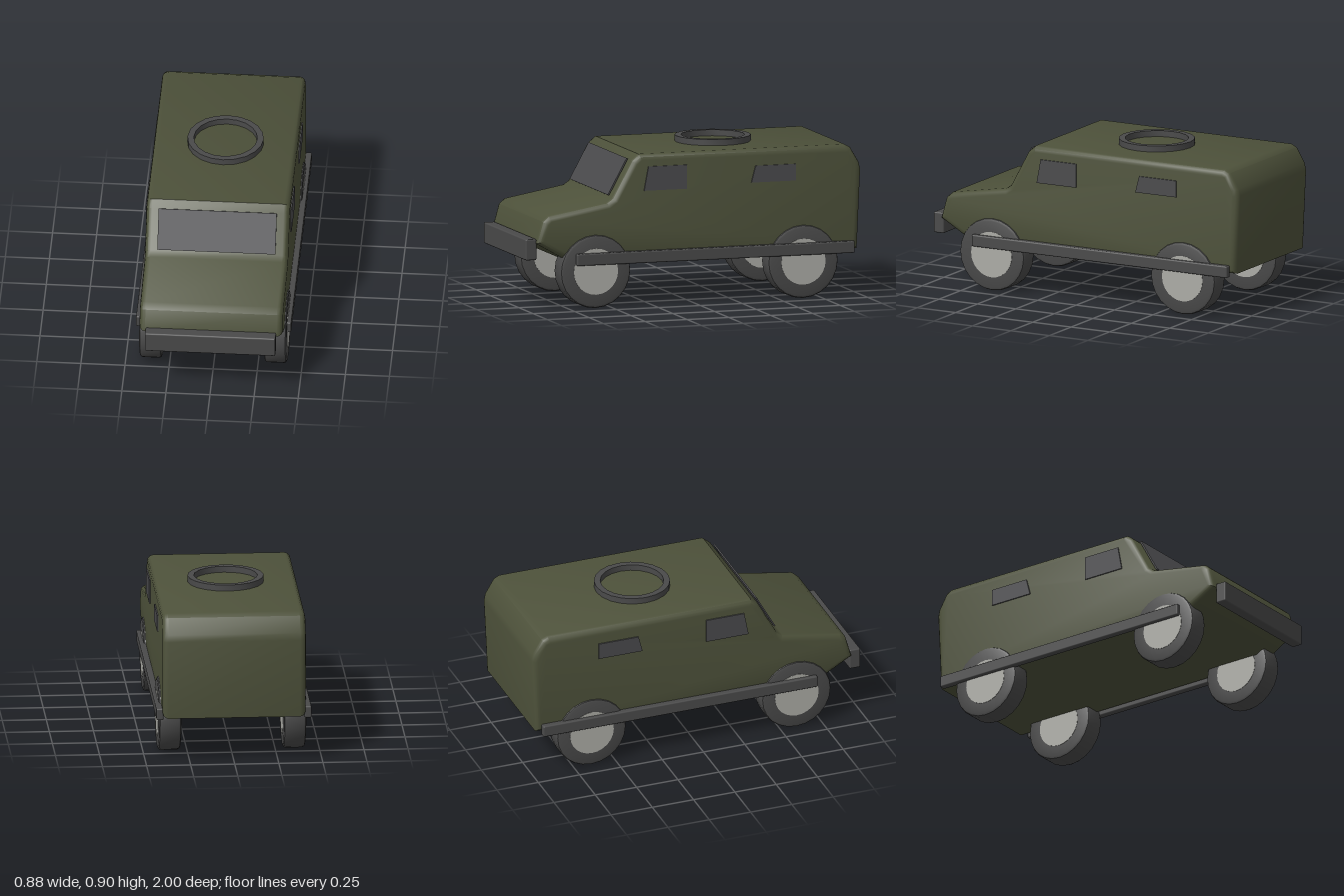
import * as THREE from 'three';
import { toCreasedNormals } from 'three/addons/utils/BufferGeometryUtils.js';
import { RoundedBoxGeometry } from 'three/addons/geometries/RoundedBoxGeometry.js';

function material(name, color) {
  const m = new THREE.MeshStandardMaterial({ color });
  m.name = name;
  return m;
}

const toShape = (points) => new THREE.Shape(points.map(([a, b]) => new THREE.Vector2(a, b)));

// Extrudes a (z, y) side outline across x, centred on x = 0
function extrudeAcross(points, width, bevel = 0) {
  const geometry = new THREE.ExtrudeGeometry(toShape(points), {
    depth: width - 2 * bevel,
    bevelEnabled: bevel > 0,
    bevelThickness: bevel,
    bevelSize: bevel,
    bevelOffset: -bevel,
    bevelSegments: 3,
  });
  geometry.translate(0, 0, bevel - width / 2);
  geometry.rotateY(-Math.PI / 2);
  return geometry;
}

export function createModel() {
  const model = new THREE.Group();
  model.name = 'armouredTruck';
  const olive = material('olivePaint', 0x4d513a);
  const rubber = material('darkGrey', 0x4a4a4a);
  const glass = material('windowGrey', 0x4b4b4d);
  const metal = material('hubGrey', 0xacaca6);

  function add(name, geometry, mat, x = 0, y = 0, z = 0, parent = model) {
    const mesh = new THREE.Mesh(geometry, mat);
    mesh.name = name;
    mesh.position.set(x, y, z);
    parent.add(mesh);
    return mesh;
  }

  // Body shell: one side outline with softened edges
  const outline = [
    [-0.975, 0.266], [0.74, 0.266], [0.94, 0.38], [0.905, 0.505], [0.87, 0.535],
    [0.52, 0.597], [0.487, 0.62], [0.372, 0.83], [0.33, 0.865], [-0.9, 0.865],
    [-0.935, 0.847], [-0.987, 0.76], [-0.996, 0.72],
  ];
  // The outline is given front-last, so Shape winding is counter-clockwise in (z, y)
  add('body', toCreasedNormals(extrudeAcross(outline, 0.812, 0.033), 0.6), olive);

  // Windscreen plate lying on the sloping front
  const screenBase = new THREE.Vector2(0.494, 0.631);
  const screenTop = new THREE.Vector2(0.381, 0.836);
  const slope = screenTop.clone().sub(screenBase);
  const middle = screenBase.clone().add(screenTop).multiplyScalar(0.5);
  const screen = add('windscreen', new THREE.BoxGeometry(0.67, slope.length(), 0.009), glass,
    0, middle.y, middle.x);
  screen.rotation.x = Math.atan2(slope.x, slope.y);

  // Side windows
  const windows = {
    frontSideWindow: [[0.05, 0.658], [0.306, 0.658], [0.28, 0.795], [0.05, 0.795]],
    rearSideWindow: [[-0.6, 0.675], [-0.335, 0.675], [-0.36, 0.77], [-0.6, 0.77]],
  };
  for (const side of [-1, 1]) {
    for (const [name, points] of Object.entries(windows)) {
      add(name, extrudeAcross(points, 0.009), glass, side * 0.409, 0, 0);
    }
    // Side rail
    add('sideRail', new RoundedBoxGeometry(0.04, 0.068, 1.66, 2, 0.008), rubber,
      side * 0.42, 0.283, -0.115);
  }

  // Front bumper
  add('frontBumper', new RoundedBoxGeometry(0.74, 0.12, 0.066, 2, 0.008), rubber, 0, 0.345, 0.967);

  // Roof hatch ring
  const ring = new THREE.LatheGeometry([
    [0.18, 0], [0.216, 0], [0.216, 0.04], [0.18, 0.04], [0.18, 0],
  ].map(([r, y]) => new THREE.Vector2(r, y)), 20);
  add('roofRing', toCreasedNormals(ring, 0.5), rubber, 0, 0.86, -0.243);

  // Wheels: tyre with chamfered shoulders and a disc hub showing on both faces
  const half = 0.063;
  const tyre = toCreasedNormals(new THREE.LatheGeometry([
    [0.1, -half], [0.192, -half], [0.205, -half + 0.005], [0.21, -half + 0.016],
    [0.21, half - 0.016], [0.205, half - 0.005], [0.192, half], [0.1, half],
  ].map(([r, y]) => new THREE.Vector2(r, y)), 24), 0.7).rotateZ(-Math.PI / 2);
  const hub = new THREE.CylinderGeometry(0.132, 0.132, 2 * half + 0.004, 24).rotateZ(-Math.PI / 2);
  for (const [end, z] of [['front', 0.596], ['rear', -0.644]]) {
    for (const [side, x] of [['Left', 0.354], ['Right', -0.354]]) {
      const wheel = new THREE.Group();
      wheel.name = `${end}${side}Wheel`;
      wheel.position.set(x, 0.21, z);
      add('tyre', tyre, rubber, 0, 0, 0, wheel);
      add('hub', hub, metal, 0, 0, 0, wheel);
      model.add(wheel);
    }
  }
  return model;
}
